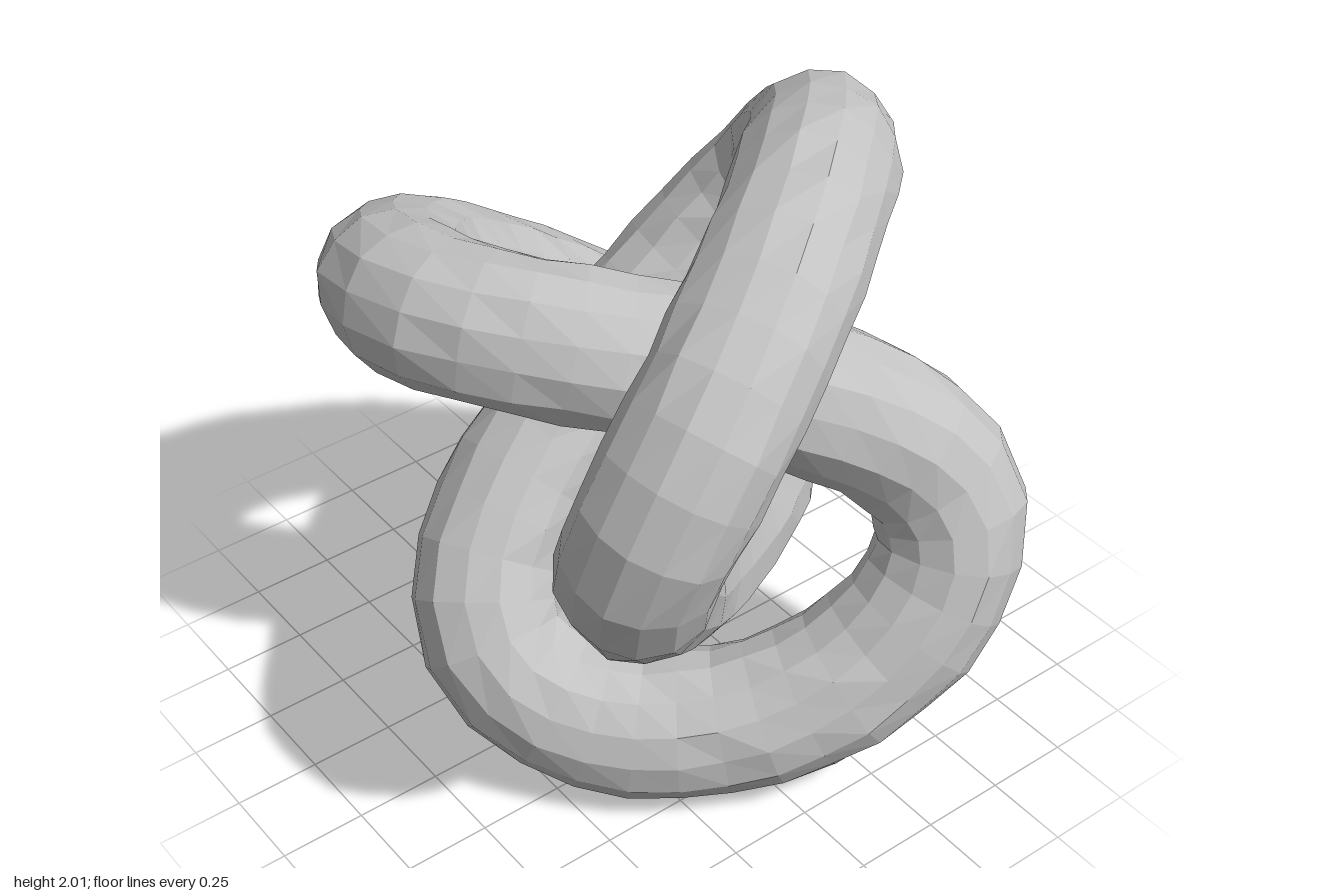
import * as THREE from 'three';

// Closed three-lobed knot path: one lobe points to -x
class KnotCurve extends THREE.Curve {
  getPoint(u, target = new THREE.Vector3()) {
    const t = u * Math.PI * 2, A = 0.59, B = 0.273;
    // the depth wave lags a little, so the lobes are round and the inner strands steep
    const w = 3 * t - 0.22 * Math.sin(3 * t);
    return target.set(
      0.125 - A * Math.cos(2 * t) - B * Math.cos(t),
      1 + A * Math.sin(2 * t) - B * Math.sin(t),
      0.53 * Math.sin(w)
    );
  }
}

// Repeatable noise in -1..1
function noise(i, j) {
  const s = Math.sin(i * 12.99 + j * 78.23) * 43758.55;
  return (s - Math.floor(s)) * 2 - 1;
}

export function createModel() {
  const group = new THREE.Group();
  group.name = 'knotModel';
  const material = new THREE.MeshStandardMaterial({ color: 0xc2c2c2, flatShading: true });
  material.name = 'plain grey';

  const segments = 84, sides = 14, radius = 0.212;
  const curve = new KnotCurve();
  const geometry = new THREE.TubeGeometry(curve, segments, radius, sides, true);

  // Slightly uneven skin: push each ring vertex in or out, matching at the seams
  const pos = geometry.attributes.position;
  const v = new THREE.Vector3();
  for (let i = 0; i <= segments; i++) {
    const centre = curve.getPointAt((i % segments) / segments);
    for (let j = 0; j <= sides; j++) {
      const k = i * (sides + 1) + j;
      const scale = 1 + 0.035 * noise(i % segments, j % sides);
      v.fromBufferAttribute(pos, k).sub(centre).multiplyScalar(scale).add(centre);
      pos.setXYZ(k, v.x, v.y, v.z);
    }
  }
  geometry.computeVertexNormals();

  const knot = new THREE.Mesh(geometry, material);
  knot.name = 'knotTube';
  group.add(knot);
  return group;
}
